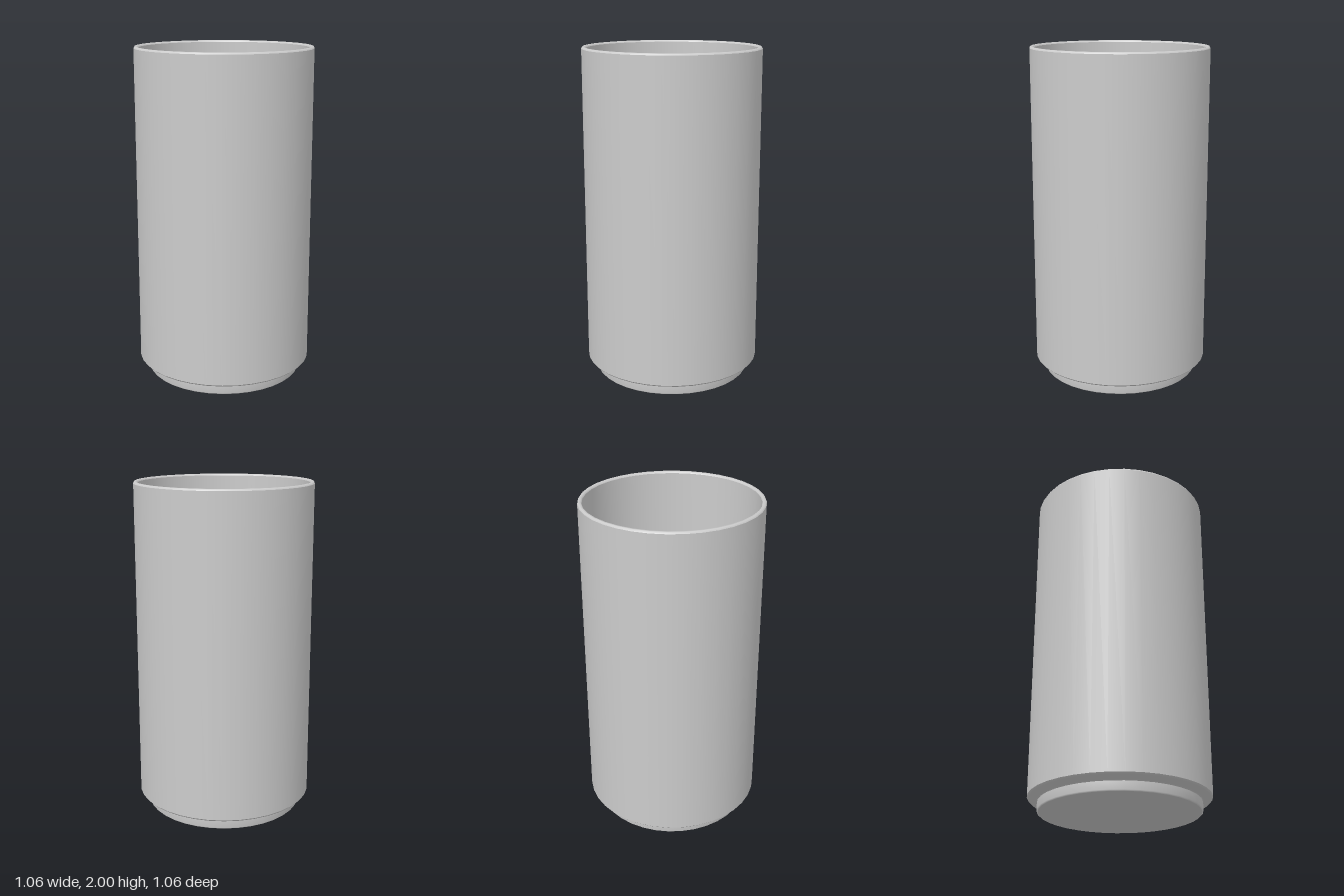
import * as THREE from 'three';

const SIDES = 36;

// Each profile is a list of [radius, height]; normals are smooth within one profile
// and sharp where separate profiles meet.
function lathePart(name, profile, material) {
  const points = profile.map(([r, y]) => new THREE.Vector2(r, y));
  const mesh = new THREE.Mesh(new THREE.LatheGeometry(points, SIDES), material);
  mesh.name = name;
  return mesh;
}

export function createModel() {
  const group = new THREE.Group();
  group.name = 'cup';
  const material = new THREE.MeshStandardMaterial({ color: 0xcccccc });

  const parts = {
    // flat base and the narrow foot above it
    base: [[0, 0], [0.465, 0]],
    foot: [[0.465, 0], [0.472, 0.007], [0.472, 0.055]],
    // sloping step out to the body
    shoulder: [[0.472, 0.055], [0.481, 0.062], [0.52, 0.075], [0.53, 0.085]],
    outerWall: [[0.53, 0.085], [0.53, 1.99]],
    // slightly rounded lip
    rim: [[0.53, 1.99], [0.524, 2], [0.511, 2], [0.505, 1.99]],
    innerWall: [[0.505, 1.99], [0.505, 0.11]],
    // inside follows the step down to the floor
    innerShoulder: [[0.505, 0.11], [0.495, 0.095], [0.455, 0.08], [0.447, 0.07], [0.447, 0.035], [0.44, 0.026]],
    floor: [[0.44, 0.026], [0, 0.026]],
  };

  for (const [name, profile] of Object.entries(parts)) {
    group.add(lathePart(name, profile, material));
  }
  return group;
}
